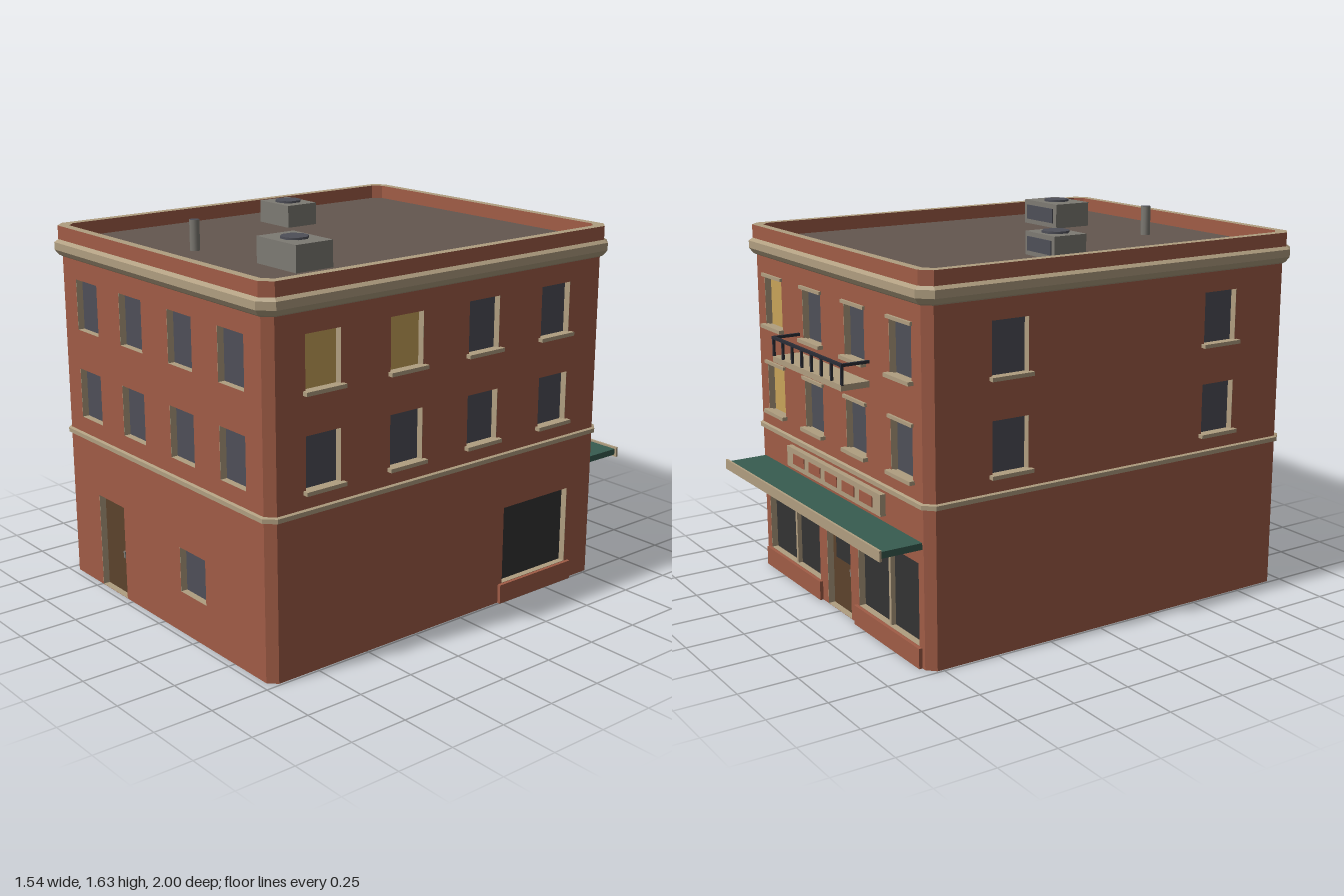
import * as THREE from 'three';

const mat = (name, color, side = THREE.DoubleSide) => {
  const m = new THREE.MeshStandardMaterial({ color, side });
  m.name = name;
  return m;
};
const brick = mat('brick', 0xa05c46);
const stone = mat('stone trim', 0xb09e80);
const roofing = mat('roofing', 0x64574f);
const glass = mat('window glass', 0x4e4f58);
const lit = mat('lit glass', 0xc8a359);
const shopGlass = mat('shop glass', 0x333333);
const wood = mat('door wood', 0x5c422c);
const green = mat('awning green', 0x375c50);
const metal = mat('vent metal', 0x7d7a73);
const iron = mat('railing iron', 0x2b2d36);

const HX = 0.74, HZ = 0.89, CZ = 0.08, C = 0.035, WALL_H = 1.45;

function add(parent, name, geo, material, x = 0, y = 0, z = 0) {
  const m = new THREE.Mesh(geo, material);
  m.name = name;
  m.position.set(x, y, z);
  parent.add(m);
  return m;
}
const box = (parent, name, material, w, h, d, x, y, z) =>
  add(parent, name, new THREE.BoxGeometry(w, h, d), material, x, y, z);

// Chamfered rectangle footprint, grown by o
function footprint(o) {
  const x = HX + o, z = HZ + o, c = C + Math.max(0, o) * 0.586;
  return [[-x + c, z], [x - c, z], [x, z - c], [x, -z + c],
    [x - c, -z], [-x + c, -z], [-x, -z + c], [-x, z - c]];
}
// Sweep a profile of [offset, y] around the footprint
function sweep(profile) {
  const pos = [];
  for (let k = 0; k < profile.length - 1; k++) {
    const [o0, y0] = profile[k], [o1, y1] = profile[k + 1];
    const lo = footprint(o0), hi = footprint(o1);
    for (let i = 0; i < 8; i++) {
      const j = (i + 1) % 8;
      const a = [lo[i][0], y0, lo[i][1]], b = [lo[j][0], y0, lo[j][1]];
      const c = [hi[j][0], y1, hi[j][1]], d = [hi[i][0], y1, hi[i][1]];
      pos.push(...a, ...b, ...c, ...a, ...c, ...d);
    }
  }
  const g = new THREE.BufferGeometry();
  g.setAttribute('position', new THREE.Float32BufferAttribute(pos, 3));
  g.computeVertexNormals();
  return g;
}

function rect(Type, x0, y0, x1, y1) {
  const p = new Type();
  p.moveTo(x0, y0);
  p.lineTo(x1, y0);
  p.lineTo(x1, y1);
  p.lineTo(x0, y1);
  p.closePath();
  return p;
}

// Wall facing +z with recessed openings {x, w, y0, y1, fill, sill, lintel}
function makeWall(name, half, openings) {
  const g = new THREE.Group();
  g.name = name;
  const shape = rect(THREE.Shape, -half, 0, half, WALL_H);
  for (const o of openings) {
    const x0 = o.x - o.w / 2, x1 = o.x + o.w / 2, y0 = Math.max(o.y0, 0.001), h = o.y1 - y0;
    shape.holes.push(rect(THREE.Path, x0, y0, x1, o.y1));
    const frame = rect(THREE.Shape, x0 - 0.008, Math.max(0, y0 - 0.008), x1 + 0.008, o.y1 + 0.008);
    frame.holes.push(rect(THREE.Path, x0, y0, x1, o.y1));
    add(g, 'openingFrame', new THREE.ExtrudeGeometry(frame, { depth: 0.034, bevelEnabled: false }),
      stone, 0, 0, -0.035);
    add(g, 'pane', new THREE.PlaneGeometry(o.w, h), o.fill, o.x, y0 + h / 2, -0.03);
    if (o.sill) box(g, 'sill', stone, o.w + 0.024, 0.016, 0.035, o.x, y0 - 0.004, 0.006);
    if (o.lintel) box(g, 'lintel', stone, o.w + 0.02, 0.014, 0.014, o.x, o.y1 + 0.004, 0.004);
  }
  add(g, 'wallFace', new THREE.ShapeGeometry(shape), brick);
  return g;
}

// Two storeys of windows; litKeys holds "row,column" of lit ones
function windows(xs, sill, lintel, litKeys = []) {
  return [[1.128, 1.345], [0.743, 0.958]].flatMap(([y0, y1], r) => xs.map((x, c) => ({
    x, w: 0.167, y0, y1, sill, lintel, fill: litKeys.includes(r + ',' + c) ? lit : glass,
  })));
}

export function createModel() {
  const model = new THREE.Group();
  model.name = 'cornerShopBuilding';
  const body = new THREE.Group();
  body.name = 'building';
  body.position.z = CZ;
  model.add(body);

  // Four walls
  const front = makeWall('frontWall', HX - C, [
    ...windows([-0.52, -0.18, 0.175, 0.515], false, false),
    { x: -0.395, w: 0.2, y0: 0, y1: 0.415, fill: wood },
    { x: 0.22, w: 0.18, y0: 0.18, y1: 0.372, fill: glass },
  ]);
  front.position.z = HZ;
  box(front, 'doorHandle', metal, 0.012, 0.03, 0.016, -0.33, 0.187, -0.022);

  const sideLeft = makeWall('leftWall', HZ - C, [
    ...windows([-0.635, -0.225, 0.185, 0.595], true, false, ['0,0', '0,1']),
    { x: 0.52, w: 0.385, y0: 0.085, y1: 0.425, fill: shopGlass },
  ]);
  sideLeft.position.x = HX;
  sideLeft.rotation.y = Math.PI / 2;
  box(sideLeft, 'bulkhead', brick, 0.43, 0.084, 0.03, 0.52, 0.042, 0);

  const sideRight = makeWall('rightWall', HZ - C, windows([-0.52, 0.52], true, false));
  sideRight.position.x = -HX;
  sideRight.rotation.y = -Math.PI / 2;

  const back = makeWall('shopWall', HX - C, [
    ...windows([-0.55, -0.185, 0.185, 0.55], true, true, ['0,0', '1,0']),
    { x: -0.42, w: 0.49, y0: 0.085, y1: 0.425, fill: shopGlass },
    { x: 0.42, w: 0.49, y0: 0.085, y1: 0.425, fill: shopGlass },
    { x: 0, w: 0.21, y0: 0, y1: 0.425, fill: wood },
  ]);
  back.position.z = -HZ;
  back.rotation.y = Math.PI;
  body.add(front, sideLeft, sideRight, back);

  // Chamfered corners
  for (const sx of [-1, 1]) for (const sz of [-1, 1]) {
    const c = add(body, 'cornerFace', new THREE.PlaneGeometry(C * Math.SQRT2, WALL_H), brick,
      sx * (HX - C / 2), WALL_H / 2, sz * (HZ - C / 2));
    c.rotation.y = Math.atan2(sx, sz);
  }

  // Shop front: bulkheads, mullions, door glass
  for (const s of [-1, 1]) {
    box(back, 'bulkhead', brick, 0.53, 0.084, 0.03, s * 0.42, 0.042, 0);
    box(back, 'mullion', stone, 0.016, 0.34, 0.02, s * 0.42, 0.255, -0.02);
  }
  box(back, 'doorGlass', shopGlass, 0.13, 0.17, 0.006, 0, 0.305, -0.026);
  box(back, 'doorHandle', metal, 0.012, 0.03, 0.016, 0.075, 0.19, -0.022);

  // Awning with a front board
  box(back, 'awning', [green, green, green, stone, green, green], 1.39, 0.027, 0.18, 0, 0.502, 0.09);
  box(back, 'awningBoard', stone, 1.41, 0.044, 0.01, 0, 0.502, 0.185);

  // Panelled board above the awning
  box(back, 'panelBoard', stone, 0.83, 0.09, 0.025, 0, 0.588, 0.012);
  for (let i = -2; i <= 2; i++) box(back, 'boardPanel', brick, 0.105, 0.045, 0.006, i * 0.15, 0.588, 0.025);

  // Balcony
  const balcony = new THREE.Group();
  balcony.name = 'balcony';
  back.add(balcony);
  box(balcony, 'balconySlab', [stone, stone, stone, brick, stone, stone], 0.61, 0.025, 0.125, 0, 1.052, 0.0625);
  box(balcony, 'frontRail', iron, 0.62, 0.012, 0.012, 0, 1.142, 0.119);
  for (const s of [-1, 1]) box(balcony, 'sideRail', iron, 0.012, 0.012, 0.12, s * 0.304, 1.142, 0.06);
  for (let i = 0; i < 8; i++) {
    box(balcony, 'baluster', iron, 0.01, 0.08, 0.01, -0.304 + i * 0.608 / 7, 1.102, 0.119);
  }

  // Bands around the building, parapet and roof
  add(body, 'stringCourse', sweep([[0, 0.65], [0.012, 0.652], [0.012, 0.67], [0, 0.674]]), stone);
  add(body, 'cornice', sweep([[0, 1.428], [0.014, 1.436], [0.03, 1.458], [0.03, 1.49], [0.014, 1.502]]), stone);
  add(body, 'parapet', sweep([[0.014, 1.495], [0.014, 1.56]]), brick);
  add(body, 'parapetTop', sweep([[0.014, 1.56], [-0.025, 1.56]]), stone);
  add(body, 'parapetInside', sweep([[-0.025, 1.56], [-0.025, 1.5]]), brick);
  const roofShape = new THREE.Shape(footprint(-0.025).map(([x, z]) => new THREE.Vector2(x, -z)));
  add(body, 'roof', new THREE.ShapeGeometry(roofShape).rotateX(-Math.PI / 2), roofing, 0, 1.5, 0);

  // Rooftop vents and pipe
  for (const [x, z, w, d, top] of [[0.345, 0.54, 0.25, 0.18, 1.608], [-0.418, -0.008, 0.205, 0.155, 1.596]]) {
    box(model, 'roofVent', metal, w, top - 1.5, d, x, (top + 1.5) / 2, z);
    box(model, 'ventGrille', glass, w * 0.8, (top - 1.5) * 0.6, 0.008, x, (top + 1.5) / 2, z - d / 2 - 0.002);
    add(model, 'ventFan', new THREE.CylinderGeometry(0.058, 0.058, 0.01, 8).rotateY(Math.PI / 8), glass, x, top + 0.004, z);
  }
  add(model, 'roofPipe', new THREE.CylinderGeometry(0.021, 0.021, 0.127, 8), [metal, glass, metal], -0.15, 1.5635, 0.67);

  return model;
}
